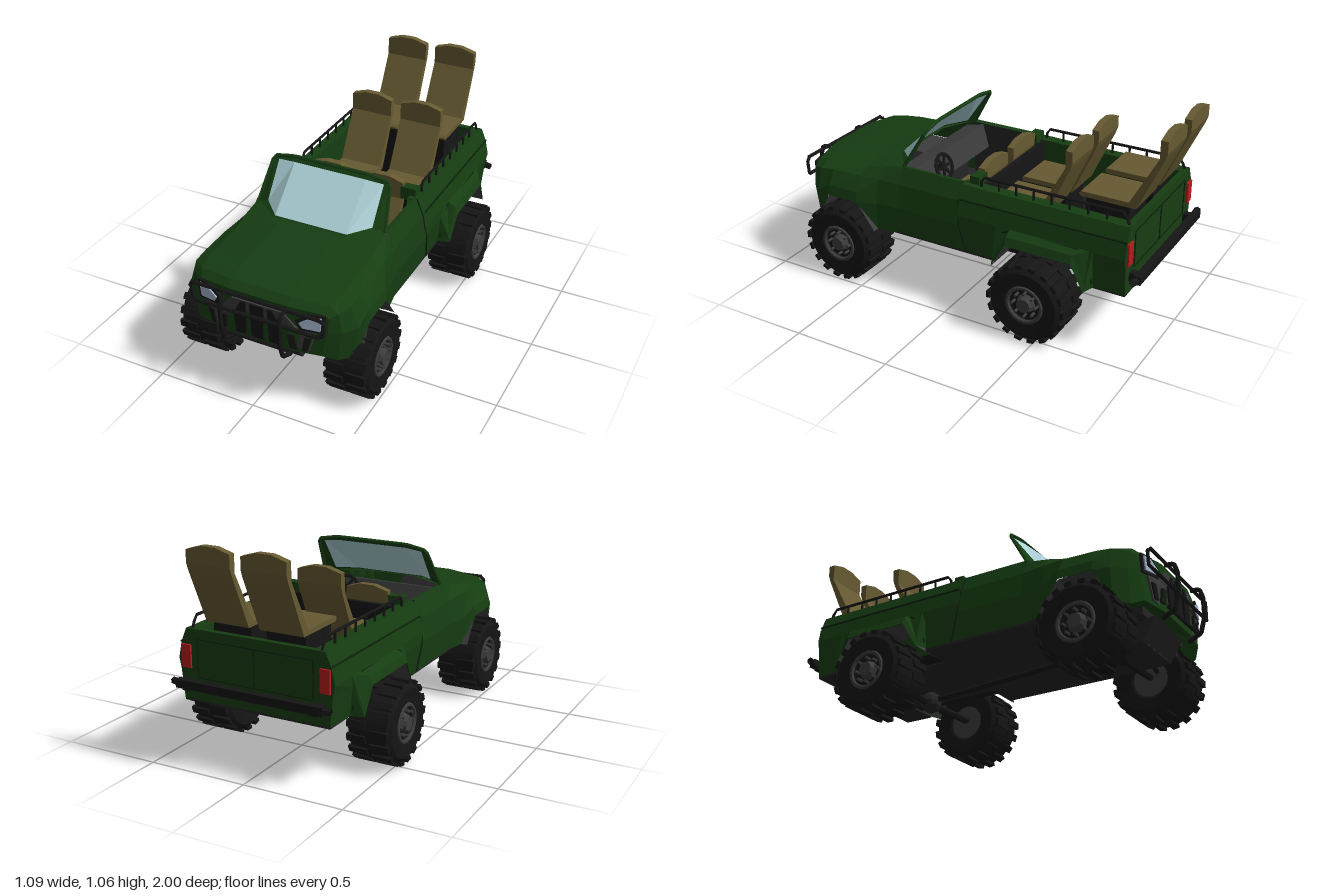
import * as THREE from 'three';

const mat = (color) => new THREE.MeshStandardMaterial({ color, flatShading: true, side: THREE.DoubleSide });
const GREEN = mat(0x163d12), BLACK = mat(0x151515), DARK = mat(0x252525), GREY = mat(0x3c3c3c);
const SEAT = mat(0x665a32), GLASS = mat(0xb0d4da), LAMP = mat(0xa3b3cc), RED = mat(0xb81c1c), SEAM = mat(0x0b200a);
const V = (p) => new THREE.Vector3(...p);

function add(parent, name, geo, material, pos = [0, 0, 0], rot = [0, 0, 0]) {
  const m = new THREE.Mesh(geo, material);
  m.name = name;
  m.position.set(...pos);
  m.rotation.set(...rot);
  parent.add(m);
  return m;
}
const box = (p, name, material, x0, x1, y0, y1, z0, z1) =>
  add(p, name, new THREE.BoxGeometry(x1 - x0, y1 - y0, z1 - z0), material, [(x0 + x1) / 2, (y0 + y1) / 2, (z0 + z1) / 2]);

// Skin between successive rows of points
function loft(rows) {
  const pos = [];
  for (let i = 0; i + 1 < rows.length; i++)
    for (let j = 0; j + 1 < rows[i].length; j++) {
      const a = rows[i][j], b = rows[i][j + 1], c = rows[i + 1][j + 1], d = rows[i + 1][j];
      pos.push(...a, ...b, ...c, ...a, ...c, ...d);
    }
  const g = new THREE.BufferGeometry();
  g.setAttribute('position', new THREE.Float32BufferAttribute(pos, 3));
  g.computeVertexNormals();
  return g;
}
// Tube through straight segments
function pipe(p, name, pts, r, material = BLACK) {
  const path = new THREE.CurvePath();
  for (let i = 0; i + 1 < pts.length; i++) path.add(new THREE.LineCurve3(V(pts[i]), V(pts[i + 1])));
  add(p, name, new THREE.TubeGeometry(path, pts.length * 6, r, 6), material);
}
const shape = (pts) => new THREE.Shape(pts.map(([x, y]) => new THREE.Vector2(x, y)));
const bulge = (x) => 0.109 - Math.min(Math.max(Math.abs(x), 0.15), 0.33) ** 2;

// Plate wrapped onto the curved nose
function nosePlate(p, name, pts, material, lift) {
  const g = new THREE.ExtrudeGeometry(shape(pts), { depth: 0.01, bevelEnabled: false });
  const a = g.attributes.position;
  for (let i = 0; i < a.count; i++) a.setZ(i, a.getZ(i) + 0.88 + 0.4 * bulge(a.getX(i)) + lift);
  add(p, name, g, material);
}
function bothSides(parent, name, build) {
  for (const s of [1, -1]) {
    const g = new THREE.Group();
    g.name = (s > 0 ? 'left ' : 'right ') + name;
    g.scale.x = s;
    build(g, s);
    parent.add(g);
  }
}

function buildNose(car) {
  // z, bow, bottom x y, middle x y, shoulder x y, hood edge x y, centre y
  const stations = [
    [0.88, 0.4, 0.30, 0.32, 0.33, 0.45, 0.335, 0.53, 0.31, 0.548, 0.56],
    [0.85, 0.35, 0.36, 0.29, 0.385, 0.45, 0.37, 0.545, 0.33, 0.575, 0.59],
    [0.79, 0.3, 0.42, 0.29, 0.435, 0.45, 0.40, 0.56, 0.34, 0.585, 0.605],
    [0.71, 0.3, 0.455, 0.45, 0.445, 0.50, 0.40, 0.57, 0.345, 0.59, 0.615],
    [0.54, 0.3, 0.455, 0.45, 0.445, 0.50, 0.40, 0.575, 0.345, 0.605, 0.632],
    [0.44, 0.5, 0.415, 0.31, 0.42, 0.45, 0.395, 0.575, 0.345, 0.63, 0.645],
    [0.32, 1.0, 0.395, 0.31, 0.405, 0.45, 0.385, 0.57, 0.345, 0.65, 0.655],
  ];
  const rows = stations.map(([z, bow, xb, yb, xm, ym, xs, ys, xe, ye, yc]) => {
    const half = [[xb, yb], [xm, ym], [xs, ys], [xe, ye], [0.15, yc]].map(([x, y]) => [x, y, z + bow * bulge(x)]);
    return [...half, ...half.map(([x, y, zz]) => [-x, y, zz]).reverse()];
  });
  add(car, 'hood and front fenders', loft(rows), GREEN);
  const f = rows[0];
  const zc = f[4][2];
  add(car, 'front panel', loft([0, 1, 2, 3, 4].map((k) => [f[k], [0.15, f[k][1], zc], [-0.15, f[k][1], zc], f[9 - k]])), GREEN);

  nosePlate(car, 'grille surround', [[-0.13, 0.525], [0.13, 0.525], [0.19, 0.46], [0.28, 0.45], [0.25, 0.34], [-0.25, 0.34], [-0.28, 0.45], [-0.19, 0.46]], GREY, 0);
  nosePlate(car, 'grille slot', [[-0.03, 0.345], [0.03, 0.345], [0.035, 0.52], [-0.035, 0.52]], BLACK, 0.005);
  for (const s of [1, -1]) {
    const m = (pts) => pts.map(([x, y]) => [x * s, y]);
    nosePlate(car, 'grille slot', m([[0.06, 0.345], [0.11, 0.345], [0.12, 0.45], [0.08, 0.52], [0.055, 0.52]]), BLACK, 0.005);
    nosePlate(car, 'side vent', m([[0.165, 0.345], [0.2, 0.345], [0.185, 0.42], [0.155, 0.42]]), BLACK, 0.008);
    nosePlate(car, 'side vent', m([[0.22, 0.345], [0.245, 0.345], [0.265, 0.42], [0.235, 0.42]]), BLACK, 0.008);
    nosePlate(car, 'headlight bezel', m([[0.19, 0.5], [0.25, 0.545], [0.325, 0.545], [0.32, 0.45], [0.21, 0.455]]), BLACK, 0.002);
    nosePlate(car, 'headlight', m([[0.21, 0.495], [0.265, 0.532], [0.312, 0.535], [0.305, 0.465], [0.225, 0.47]]), LAMP, 0.008);
  }
  // Skid plate below the nose
  const skid = new THREE.ExtrudeGeometry(shape([[-0.87, 0.31], [-0.8, 0.2], [-0.5, 0.2], [-0.44, 0.31]]), { depth: 0.31, bevelEnabled: false });
  add(car, 'skid plate', skid, DARK, [0.155, 0, 0], [0, Math.PI / 2, 0]).rotation.y = Math.PI / 2;
  car.children.at(-1).position.x = -0.155;
  for (const x of [-0.09, -0.03, 0.03, 0.09]) box(car, 'skid rib', GREY, x - 0.012, x + 0.012, 0.205, 0.3, 0.78, 0.805);

  // Bull bar
  for (const y of [0.555, 0.46, 0.335]) {
    const w = y < 0.4 ? 0.16 : 0.32;
    pipe(car, 'bull bar rail', [[-w, y, 0.937], [w, y, 0.937]], 0.009);
  }
  bothSides(car, 'bull bar side', (g) => {
    pipe(g, 'headlight guard', [[0.31, 0.555, 0.937], [0.338, 0.54, 0.93], [0.332, 0.47, 0.93], [0.3, 0.46, 0.937]], 0.009);
    pipe(g, 'upright', [[0.15, 0.55, 0.93], [0.15, 0.545, 0.975], [0.15, 0.5, 0.989], [0.15, 0.4, 0.989], [0.15, 0.32, 0.965], [0.15, 0.29, 0.9]], 0.011);
  });
}

function buildWindshield(car) {
  const sym = (pts) => [...pts, ...pts.map(([x, y, z]) => [-x, y, z]).reverse()];
  const outTop = sym([[0.31, 0.85, 0.205], [0.2, 0.87, 0.205]]), outLow = sym([[0.34, 0.652, 0.32], [0.2, 0.65, 0.43]]);
  const inTop = sym([[0.28, 0.84, 0.213], [0.19, 0.848, 0.222]]), inLow = sym([[0.28, 0.67, 0.333], [0.19, 0.657, 0.422]]);
  add(car, 'windshield', loft([inTop, inLow]), GLASS);
  add(car, 'windshield frame', loft([outTop, inTop]), GREEN);
  add(car, 'cowl', loft([inLow, outLow]), GREEN);
  for (const k of [0, 3]) add(car, 'pillar', loft([[outTop[k], inTop[k]], [outLow[k], inLow[k]]]), GREEN);
  pipe(car, 'frame edge', [outLow[0], ...outTop, outLow[3]], 0.009, GREEN);
}

function buildSides(car) {
  // z, bottom x y, middle x y, rim y
  const rear = [
    [-0.02, 0.39, 0.31, 0.405, 0.45, 0.648], [-0.215, 0.39, 0.31, 0.405, 0.45, 0.645], [-0.235, 0.455, 0.31, 0.445, 0.34, 0.645],
    [-0.31, 0.46, 0.44, 0.445, 0.48, 0.645], [-0.65, 0.46, 0.44, 0.445, 0.48, 0.645], [-0.715, 0.455, 0.31, 0.445, 0.34, 0.645],
    [-0.735, 0.39, 0.31, 0.405, 0.45, 0.645], [-0.89, 0.38, 0.31, 0.395, 0.45, 0.645],
  ];
  const bedRows = rear.map(([z, xb, yb, xm, ym, yt]) =>
    [[xb, yb, z], [xm, ym, z], [0.405, 0.5, z], [0.388, 0.58, z], [0.36, yt, z], [0.3, yt, z], [0.29, 0.33, z]]);
  const doorRows = [0.32, -0.02].map((z) => [[0.393, 0.31, z], [0.405, 0.45, z], [0.386, 0.57, z], [0.35, 0.655, z], [0.325, 0.65, z]]);
  const arch = (pts, xi) => {
    const lip = pts.map(([z, y]) => [0.45, y, z]), inner = pts.map(([z, y]) => [xi, y, z]);
    return loft([lip, inner, pts.map(([z]) => [xi, 0.31, z])]);
  };
  bothSides(car, 'side', (g) => {
    add(g, 'bed side', loft(bedRows), GREEN);
    add(g, 'door', loft(doorRows), GREEN);
    add(g, 'door lining', loft([0.32, -0.1].map((z) => [[0.325, 0.65, z], [0.335, 0.33, z]])), DARK);
    add(g, 'front wheel well', arch([[0.79, 0.29], [0.71, 0.45], [0.54, 0.45], [0.44, 0.31]], 0.22), GREY);
    add(g, 'rear wheel well', arch([[-0.235, 0.31], [-0.31, 0.44], [-0.65, 0.44], [-0.715, 0.31]], 0.26), GREY);
    pipe(g, 'door seam', [[0.351, 0.655, -0.02], [0.388, 0.57, -0.02], [0.407, 0.45, -0.03], [0.394, 0.31, -0.065]], 0.004, SEAM);
    pipe(g, 'side crease', [[0.389, 0.58, -0.03], [0.389, 0.58, -0.89]], 0.005, SEAM);
    pipe(g, 'flare trim', [[0.406, 0.34, -0.215], [0.407, 0.49, -0.28], [0.407, 0.495, -0.68], [0.406, 0.34, -0.735]], 0.006, SEAM);
    box(g, 'corner post', GREEN, 0.25, 0.33, 0.62, 0.685, -0.1, -0.05);
    // Bed rail with posts
    pipe(g, 'bed rail', [[0.335, 0.64, -0.115], [0.335, 0.697, -0.12], [0.335, 0.697, -0.85], [0.335, 0.64, -0.875]], 0.007);
    for (let i = 1; i < 8; i++) pipe(g, 'rail post', [[0.335, 0.64, -0.12 - i * 0.092], [0.335, 0.697, -0.12 - i * 0.092]], 0.006);
    box(g, 'tail light', RED, 0.335, 0.385, 0.46, 0.57, -0.9, -0.87);
    box(g, 'bumper mount', BLACK, 0.31, 0.35, 0.37, 0.41, -0.95, -0.87);
    pipe(g, 'bumper end', [[0.36, 0.4, -0.945], [0.41, 0.4, -0.93]], 0.018);
  });
  // Tailgate
  const end = bedRows.at(-1);
  add(car, 'tailgate', loft(end.slice(0, 6).map((p) => [p, [-p[0], p[1], p[2]]])), GREEN);
  box(car, 'tailgate lining', GREEN, -0.3, 0.3, 0.34, 0.645, -0.888, -0.86);
  for (const y of [0.42, 0.6]) pipe(car, 'tailgate seam', [[-0.3, y, -0.891], [0.3, y, -0.891]], 0.004, SEAM);
  for (const x of [-0.3, 0, 0.3]) pipe(car, 'tailgate seam', [[x, 0.42, -0.891], [x, 0.6, -0.891]], 0.004, SEAM);
  box(car, 'rear bumper', BLACK, -0.38, 0.38, 0.38, 0.42, -0.958, -0.925);
}

function buildCabin(car) {
  box(car, 'chassis', DARK, -0.22, 0.22, 0.3, 0.34, -0.88, 0.84);
  box(car, 'cab floor', DARK, -0.39, 0.39, 0.3, 0.335, -0.22, 0.43);
  box(car, 'bed floor', BLACK, -0.29, 0.29, 0.31, 0.345, -0.88, -0.1);
  box(car, 'rear sill', DARK, -0.38, 0.38, 0.3, 0.33, -0.888, -0.725);
  box(car, 'bulkhead', BLACK, -0.33, 0.33, 0.33, 0.64, -0.125, -0.1);
  box(car, 'firewall', DARK, -0.33, 0.33, 0.33, 0.6, 0.36, 0.38);
  add(car, 'dashboard', new THREE.BoxGeometry(0.66, 0.13, 0.11), GREY, [0, 0.57, 0.3], [0.25, 0, 0]);
  box(car, 'centre console', GREY, -0.025, 0.028, 0.33, 0.45, -0.09, 0.3);
  const wheel = new THREE.Group();
  wheel.name = 'steering wheel';
  wheel.position.set(0.148, 0.6, 0.21);
  wheel.rotation.x = 0.4;
  add(wheel, 'rim', new THREE.TorusGeometry(0.065, 0.009, 6, 14), BLACK);
  for (let i = 0; i < 3; i++) add(wheel, 'spoke', new THREE.BoxGeometry(0.12, 0.014, 0.008), BLACK, [0, 0, 0], [0, 0, (i * Math.PI) / 3]);
  add(wheel, 'column', new THREE.CylinderGeometry(0.018, 0.018, 0.1, 8), BLACK, [0, 0, 0.05], [Math.PI / 2, 0, 0]);
  car.add(wheel);

  // Seats: side profile (forward, up) swept across the width, with a crowned top
  const profile = shape([[0.4, -0.025], [0.41, -0.01], [0.4, 0], [0.165, 0], [0.035, 0.24], [0.035, 0.35], [0, 0.35], [0, 0.27], [0.01, 0.24], [0.13, -0.025]]);
  const seat = new THREE.ExtrudeGeometry(profile, { depth: 0.225, steps: 3, bevelEnabled: false });
  const a = seat.attributes.position;
  for (let i = 0; i < a.count; i++) if (a.getY(i) > 0.3 && Math.abs(a.getZ(i) - 0.1125) > 0.1) a.setY(i, 0.328);
  seat.rotateY(-Math.PI / 2);
  seat.translate(0.1125, 0, 0);
  for (const [row, z, y] of [['front', -0.092, 0.372], ['middle', -0.55, 0.562], ['rear', -0.998, 0.71]])
    for (const x of [-0.132, 0.148]) {
      add(car, row + ' seat', seat, SEAT, [x, y, z]);
      box(car, row + ' seat base', BLACK, x - 0.1, x + 0.1, 0.33, y - 0.02, z + 0.165, z + 0.38);
    }
}

function buildWheels(car) {
  const tyre = new THREE.LatheGeometry(
    [[0.07, -0.09], [0.1, -0.105], [0.165, -0.11], [0.188, -0.09], [0.194, 0], [0.188, 0.09], [0.165, 0.11], [0.1, 0.105], [0.085, 0.08], [0, 0.08]].map(([r, y]) => new THREE.Vector2(r, y)), 24);
  for (const [name, x, z] of [['front wheel', 0.385, 0.64], ['rear wheel', 0.43, -0.457]])
    bothSides(car, name, (g) => {
      const w = new THREE.Group();
      w.name = 'wheel';
      w.position.set(x, 0.205, z);
      w.rotation.z = -Math.PI / 2;
      add(w, 'tyre', tyre, BLACK);
      add(w, 'inner hub', new THREE.CylinderGeometry(0.09, 0.09, 0.02, 16), GREY, [0, -0.09, 0]);
      add(w, 'rim', new THREE.TorusGeometry(0.088, 0.01, 6, 20), GREY, [0, 0.1, 0], [Math.PI / 2, 0, 0]);
      add(w, 'hub', new THREE.CylinderGeometry(0.035, 0.05, 0.04, 10), GREY, [0, 0.095, 0]);
      for (let i = 0; i < 8; i++) {
        const t = (i * Math.PI) / 4;
        add(w, 'wheel nut', new THREE.CylinderGeometry(0.007, 0.007, 0.035, 6), GREY, [0.06 * Math.cos(t), 0.095, 0.06 * Math.sin(t)]);
      }
      // Staggered tread blocks
      for (let i = 0; i < 36; i++) {
        const t = (i * Math.PI) / 18, side = i % 2 ? 1 : -1;
        add(w, 'tread block', new THREE.BoxGeometry(0.018, 0.095, 0.034), BLACK, [0.192 * Math.cos(t), side * 0.055, 0.192 * Math.sin(t)], [0, -t, 0]);
      }
      g.add(w);
      pipe(g, 'axle', [[0, 0.2, z], [x - 0.08, 0.215, z]], 0.018);
      if (z > 0) pipe(g, 'suspension arm', [[0.14, 0.21, z + 0.08], [x - 0.08, 0.24, z + 0.03]], 0.012);
    });
  add(car, 'rear differential', new THREE.SphereGeometry(0.055, 10, 8), DARK, [0, 0.21, -0.457]);
  pipe(car, 'drive shaft', [[0, 0.22, -0.42], [0, 0.27, 0.5]], 0.015);
}

export function createModel() {
  const car = new THREE.Group();
  car.name = 'open safari truck';
  [buildNose, buildWindshield, buildSides, buildCabin, buildWheels].forEach((build) => build(car));
  return car;
}
